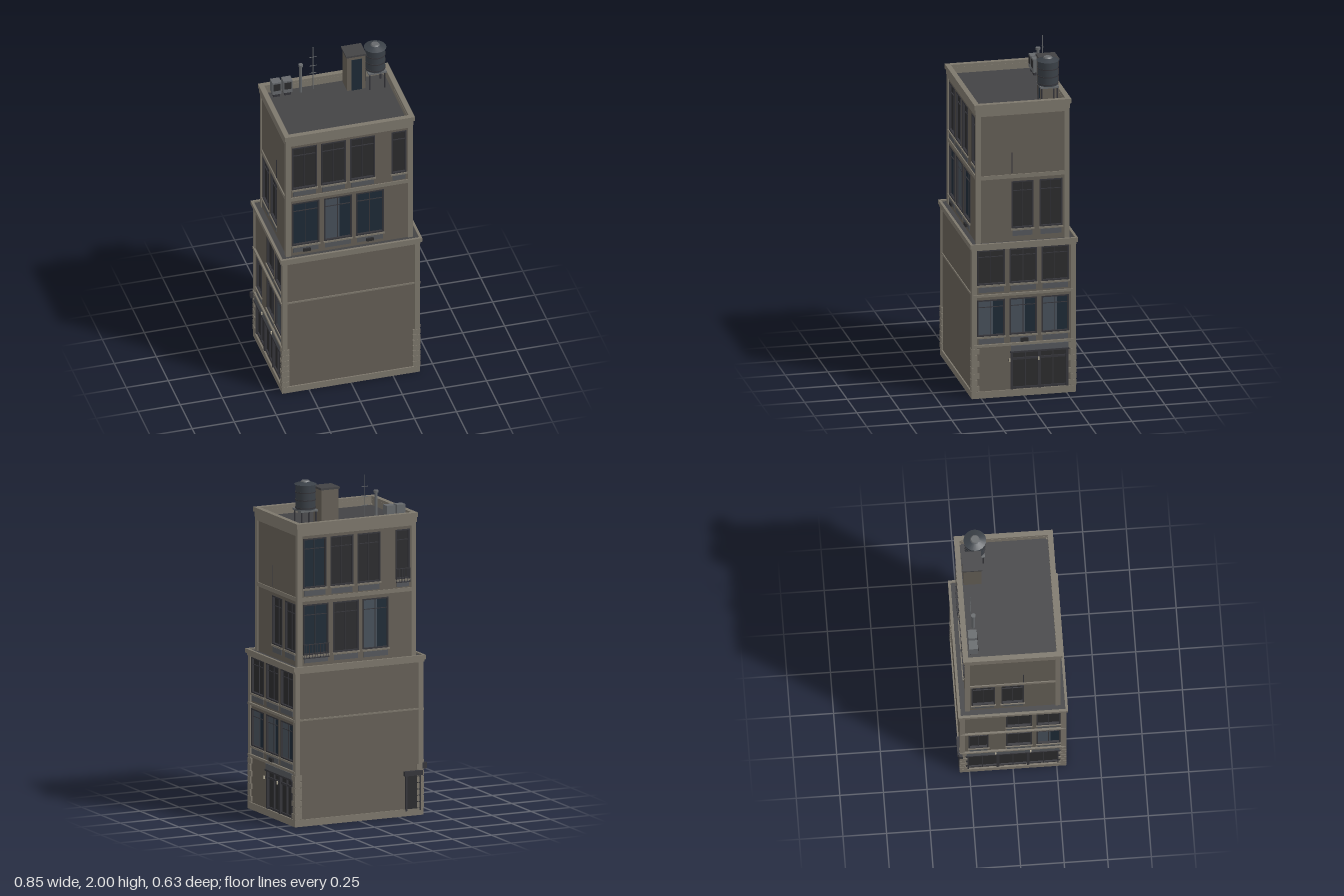
import * as THREE from 'three';

const mat = (color, side = THREE.FrontSide) => new THREE.MeshStandardMaterial({ color, side });
const M = {
  wall: mat(0x655f56), trim: mat(0x7d776c), roof: mat(0x434345), frame: mat(0x35353a),
  dark: mat(0x2b2b2d), blue: mat(0x1d2a36), curtain: mat(0x47505a), panel: mat(0x54575b),
  metal: mat(0x3a4047), steel: mat(0x66696c), lamp: mat(0xb8b09a),
};

function add(parent, name, geometry, material, x = 0, y = 0, z = 0) {
  const m = new THREE.Mesh(geometry, material);
  m.name = name;
  m.position.set(x, y, z);
  parent.add(m);
  return m;
}

// Box given by its extents
function box(parent, name, material, x0, x1, y0, y1, z0, z1) {
  return add(parent, name, new THREE.BoxGeometry(x1 - x0, y1 - y0, z1 - z0), material,
    (x0 + x1) / 2, (y0 + y1) / 2, (z0 + z1) / 2);
}

function rectPath(target, x0, x1, y0, y1) {
  target.moveTo(x0, y0);
  target.lineTo(x1, y0);
  target.lineTo(x1, y1);
  target.lineTo(x0, y1);
  target.closePath();
  return target;
}

// Rectangular band running round the building
function ring(parent, name, material, hx, hz, t, y0, y1) {
  const s = rectPath(new THREE.Shape(), -hx, hx, -hz, hz);
  s.holes.push(rectPath(new THREE.Path(), -hx + t, hx - t, -hz + t, hz - t));
  const g = new THREE.ExtrudeGeometry(s, { depth: y1 - y0, bevelEnabled: false });
  g.rotateX(-Math.PI / 2);
  add(parent, name, g, material, 0, y0, 0);
}

// Recessed window: glass, frame, bars, sill; local z = 0 is the wall face
function windowUnit(parent, [x0, x1, y0, y1, style = 'dark', rail]) {
  const g = new THREE.Group();
  g.name = 'window';
  parent.add(g);
  const mid = (x0 + x1) / 2, w = x1 - x0, f = 0.008, top = y0 + (y1 - y0) * 0.78;
  box(g, 'glass', style === 'dark' ? M.dark : M.blue, x0, x1, y0, y1, -0.016, -0.012);
  for (const x of [x0, x1 - f]) box(g, 'frameSide', M.frame, x, x + f, y0, y1, -0.012, 0.002);
  for (const y of [y0, y1 - f]) box(g, 'frameRail', M.frame, x0 + f, x1 - f, y, y + f, -0.012, 0.002);
  if (w > 0.1) box(g, 'mullion', M.frame, mid - 0.002, mid + 0.002, y0 + f, y1 - f, -0.012, -0.008);
  box(g, 'transom', M.frame, x0 + f, x1 - f, top, top + 0.004, -0.012, -0.007);
  if (style === 'curtain') {
    box(g, 'curtain', M.curtain, x0 + f, x0 + w * 0.58, y0 + f, y1 - f, -0.012, -0.011);
  }
  box(g, 'sill', M.trim, x0 - 0.004, x1 + 0.004, y0 - 0.01, y0, -0.008, 0.008);
  box(g, 'sillPanel', M.panel, x0 + 0.006, x1 - 0.006, y0 - 0.045, y0 - 0.014, -0.004, 0.003);
  if (rail) {
    for (const y of [y0 - 0.02, y0 + 0.06]) box(g, 'railBar', M.frame, x0, x1, y, y + 0.004, 0.004, 0.01);
    const n = Math.round(w / 0.018);
    for (let i = 0; i <= n; i++) {
      const x = x0 + 0.002 + (w - 0.004) * i / n;
      box(g, 'railPost', M.frame, x - 0.0015, x + 0.0015, y0 - 0.02, y0 + 0.06, 0.005, 0.009);
    }
  }
}

// Shop front with glazed door leaves and a header
function shopFront(parent, x0, x1, leaves) {
  const g = new THREE.Group();
  g.name = 'shopFront';
  parent.add(g);
  box(g, 'shopGlass', M.dark, x0, x1, 0.04, 0.27, -0.02, -0.012);
  box(g, 'shopHeader', M.panel, x0 - 0.005, x1 + 0.005, 0.268, 0.305, -0.01, 0.01);
  box(g, 'shopLedge', M.frame, x0 - 0.01, x1 + 0.01, 0.262, 0.272, -0.01, 0.014);
  for (let i = 0; i <= leaves; i++) {
    const x = x0 + (x1 - x0) * i / leaves, h = i % 2 ? 0.003 : 0.008;
    box(g, 'doorPost', M.frame, x - h, x + h, 0.04, 0.265, -0.014, i % 2 ? -0.002 : 0.004);
  }
  for (const y of [0.04, 0.215]) box(g, 'doorRail', M.frame, x0, x1, y, y + 0.012, -0.014, -0.003);
}

// One wall with openings; local x runs to the viewer's right, z points outwards
function facade(parent, name, turn, dist, half, y0, y1, windows, shop) {
  const g = new THREE.Group();
  g.name = name;
  g.rotation.y = turn;
  parent.add(g);
  const face = new THREE.Group();
  face.position.z = dist;
  g.add(face);
  const s = rectPath(new THREE.Shape(), -half, half, y0, y1);
  for (const w of windows) s.holes.push(rectPath(new THREE.Path(), ...w.slice(0, 4)));
  if (shop) s.holes.push(rectPath(new THREE.Path(), shop[0], shop[1], 0.04, 0.27));
  add(face, 'wall', new THREE.ExtrudeGeometry(s, { depth: 0.012, bevelEnabled: false }), M.wall, 0, 0, -0.012);
  windows.forEach(w => windowUnit(face, w));
  if (shop) shopFront(face, ...shop);
  return face;
}

// Wall lamp with bracket
function lamp(face, x, y) {
  box(face, 'lampBracket', M.frame, x - 0.004, x + 0.004, y - 0.004, y + 0.004, 0, 0.01);
  add(face, 'lamp', new THREE.CylinderGeometry(0.005, 0.005, 0.018, 8), M.lamp, x, y, 0.013);
}

export function createModel() {
  const root = new THREE.Group();
  root.name = 'building';
  const Q = Math.PI / 2, LX = 0.402, LZ = 0.298, UX = 0.372, UZ = 0.268;

  // Lower block, open underneath
  const front = facade(root, 'lowerFront', 0, LZ, LX, 0, 0.92, []);
  const back = facade(root, 'lowerBack', 2 * Q, LZ, LX, 0, 0.92, []);
  const bays = [[-0.272, -0.11], [-0.082, 0.078], [0.104, 0.266]];
  const right = facade(root, 'lowerRight', Q, LX, LZ, 0, 0.92, [
    ...bays.map(b => [...b, 0.68, 0.89]),
    ...bays.map(b => [...b, 0.37, 0.59, 'curtain']),
  ], [-0.07, 0.255, 4]);
  const left = facade(root, 'lowerLeft', -Q, LX, LZ, 0, 0.92, [
    [-0.04, 0.108, 0.68, 0.89], [0.135, 0.272, 0.68, 0.89],
    [-0.255, -0.14, 0.37, 0.59], [-0.04, 0.108, 0.37, 0.59], [0.135, 0.272, 0.37, 0.59, 'curtain'],
  ], [-0.262, 0.262, 6]);

  // Upper block: long walls match under a half turn
  for (const [name, turn, rear] of [['upperFront', 0, false], ['upperBack', 2 * Q, true]]) {
    const f = facade(root, name, turn, UZ, UX, 0.92, 1.72, [
      [-0.34, -0.178, 0.99, 1.285, 'blue', rear], [-0.15, 0.015, 0.99, 1.285, rear ? 'dark' : 'curtain'],
      [0.04, 0.205, 0.99, 1.285, rear ? 'curtain' : 'blue'],
      [-0.34, -0.192, 1.38, 1.67, rear ? 'blue' : 'dark'], [-0.167, -0.02, 1.38, 1.67],
      [0.005, 0.153, 1.38, 1.67], [0.25, 0.34, 1.38, 1.67, 'dark', rear],
    ]);
    if (!rear) for (const x of [-0.255, 0.12]) box(f, 'vent', M.dark, x - 0.022, x + 0.022, 0.948, 0.966, 0, 0.014);
  }
  for (const [name, s] of [['upperRight', 1], ['upperLeft', -1]]) {
    const spans = [[-0.065, 0.065], [0.1, 0.235]].map(([a, b]) => s > 0 ? [a, b] : [-b, -a]);
    const f = facade(root, name, s * Q, UX, UZ, 0.92, 1.72, spans.map(w => [...w, 1, 1.285]));
    box(f, 'conduit', M.frame, -0.062 * s - 0.002, -0.062 * s + 0.002, 1.335, 1.46, 0, 0.004);
  }

  // Corner pilasters
  for (const sx of [-1, 1]) for (const sz of [-1, 1]) {
    for (const [hx, hz, y0, y1] of [[0.409, 0.305, 0, 0.92], [0.378, 0.274, 0.92, 1.72]]) {
      const w = 0.03;
      add(root, 'cornerPilaster', new THREE.BoxGeometry(w, y1 - y0, w), M.trim,
        sx * (hx - w / 2), (y0 + y1) / 2, sz * (hz - w / 2));
    }
    // Staggered corner stones on the ground floor
    for (let i = 0; i < 7; i++) {
      const w = i % 2 ? 0.034 : 0.046, y = 0.045 + i * 0.037;
      box(root, 'cornerStone', M.trim, sx * 0.389 - 0.022, sx * 0.389 + 0.022, y, y + 0.031,
        sz * (0.307 - w / 2) - w / 2, sz * (0.307 - w / 2) + w / 2);
    }
  }

  // Plinth, belts, cornices and parapet
  for (const f of [front, back]) box(f, 'plinth', M.trim, -0.409, 0.409, 0, 0.04, -0.01, 0.008);
  for (const f of [left, right]) box(f, 'plinth', M.trim, -0.305, 0.305, 0, 0.04, -0.01, 0.008);
  for (const f of [front, back]) box(f, 'belt', M.trim, -0.405, 0.405, 0.615, 0.625, -0.01, 0.005);
  for (const f of [left, right]) {
    for (const y of [0.308, 0.61]) box(f, 'belt', M.trim, -0.302, 0.302, y, y + 0.014, -0.01, 0.012);
  }
  ring(root, 'lowerCornice', M.trim, 0.413, 0.309, 0.02, 0.893, 0.908);
  ring(root, 'lowerCorniceRim', M.trim, 0.421, 0.315, 0.015, 0.908, 0.933);
  ring(root, 'ledgeRoof', M.roof, 0.407, 0.301, 0.06, 0.915, 0.924);
  ring(root, 'upperBelt', M.trim, 0.378, 0.274, 0.016, 1.305, 1.328);
  ring(root, 'upperFrieze', M.trim, 0.378, 0.274, 0.016, 1.688, 1.72);
  ring(root, 'parapet', M.trim, 0.38, 0.278, 0.025, 1.705, 1.745);
  ring(root, 'parapetCap', M.trim, 0.386, 0.284, 0.03, 1.735, 1.762);
  box(root, 'roofDeck', M.roof, -0.36, 0.36, 1.695, 1.71, -0.258, 0.258);

  // Wall lamps and wall box
  for (const x of [-0.085, 0.085]) lamp(right, x, 0.22);
  for (const x of [-0.1, 0.1]) lamp(left, x, 0.29);
  box(right, 'wallVent', M.dark, -0.02, 0.025, 0.328, 0.35, 0, 0.018);

  // Small rear door with canopy beside the corner
  box(back, 'rearDoor', M.dark, 0.3, 0.385, 0.03, 0.235, 0, 0.006);
  for (const x of [0.295, 0.382]) box(back, 'rearDoorPost', M.frame, x, x + 0.01, 0.03, 0.24, 0, 0.012);
  box(back, 'rearCanopy', M.frame, 0.285, 0.4, 0.235, 0.262, 0, 0.02);
  box(back, 'cornerBox', M.frame, 0.402, 0.428, 0.27, 0.305, -0.008, 0.012);

  // Stair hut
  const hut = new THREE.Group();
  hut.name = 'stairHut';
  root.add(hut);
  box(hut, 'hutWalls', M.wall, 0.105, 0.213, 1.7, 1.94, -0.248, -0.145);
  box(hut, 'hutRoof', M.roof, 0.098, 0.218, 1.94, 1.952, -0.252, -0.14);
  box(hut, 'hutDoor', M.blue, 0.13, 0.192, 1.71, 1.92, -0.146, -0.142);

  // Water tank on legs
  const tank = new THREE.Group();
  tank.name = 'waterTank';
  tank.position.set(0.278, 0, -0.17);
  root.add(tank);
  add(tank, 'tankBody', new THREE.CylinderGeometry(0.058, 0.058, 0.145, 20), M.metal, 0, 1.897, 0);
  for (const y of [1.835, 1.88, 1.925]) {
    add(tank, 'tankHoop', new THREE.CylinderGeometry(0.0605, 0.0605, 0.006, 20), M.frame, 0, y, 0);
  }
  add(tank, 'tankLid', new THREE.CylinderGeometry(0.028, 0.065, 0.014, 20), M.metal, 0, 1.977, 0);
  add(tank, 'tankCap', new THREE.CylinderGeometry(0.022, 0.028, 0.008, 16), M.steel, 0, 1.987, 0);
  box(tank, 'tankPlatform', M.steel, -0.054, 0.054, 1.814, 1.825, -0.054, 0.054);
  for (const x of [-0.045, 0.045]) for (const z of [-0.045, 0.045]) {
    box(tank, 'tankLeg', M.frame, x - 0.004, x + 0.004, 1.7, 1.816, z - 0.004, z + 0.004);
  }

  // Cooling units, flue and aerial
  for (const x of [-0.298, -0.232]) {
    box(root, 'coolingUnit', M.steel, x - 0.027, x + 0.027, 1.73, 1.81, -0.246, -0.195);
    box(root, 'coolingGrille', M.dark, x - 0.02, x + 0.02, 1.755, 1.8, -0.197, -0.193);
    box(root, 'coolingFeet', M.frame, x - 0.02, x + 0.02, 1.7, 1.73, -0.24, -0.2);
  }
  add(root, 'flue', new THREE.CylinderGeometry(0.009, 0.009, 0.19, 12), M.steel, -0.153, 1.8, -0.21);
  add(root, 'flueCap', new THREE.CylinderGeometry(0.014, 0.014, 0.014, 12), M.steel, -0.153, 1.894, -0.21);
  add(root, 'aerialMast', new THREE.CylinderGeometry(0.002, 0.002, 0.3, 6), M.steel, -0.077, 1.85, -0.22);
  for (const y of [1.82, 1.87, 1.93]) box(root, 'aerialBar', M.steel, -0.098, -0.056, y, y + 0.003, -0.2215, -0.2185);

  return root;
}
